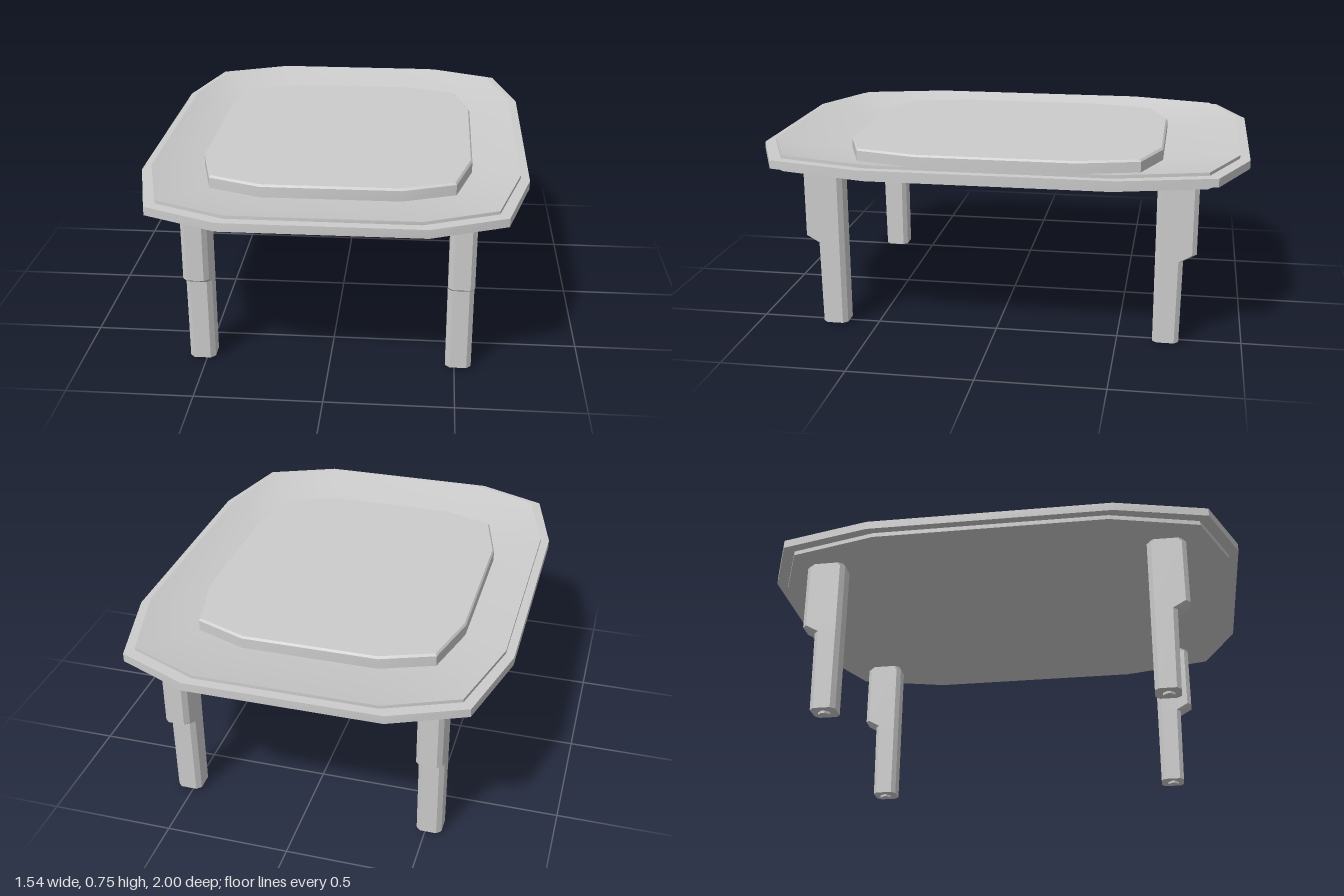
import * as THREE from 'three';
import { toCreasedNormals } from 'three/addons/utils/BufferGeometryUtils.js';

const material = new THREE.MeshStandardMaterial({ color: 0xcccccc });

// Twelve-sided outline from three corner points of one quadrant, anticlockwise from above.
function outline(q) {
  const r = [...q].reverse();
  return [
    ...q.map(([x, z]) => [x, -z]), ...r.map(([x, z]) => [-x, -z]),
    ...q.map(([x, z]) => [-x, z]), ...r.map(([x, z]) => [x, z]),
  ];
}

const mix = (a, b, t) => a.map(([x, z], i) => [x + (b[i][0] - x) * t, z + (b[i][1] - z) * t]);

// Skin a stack of sections [outline, y]; either capped at both ends or closed into a ring.
function loft(name, sections, ring, crease) {
  const n = sections[0][0].length, m = sections.length;
  const pos = [], index = [];
  for (const [pts, y] of sections) for (const [x, z] of pts) pos.push(x, y, z);
  for (let s = 0; s < (ring ? m : m - 1); s++) {
    for (let i = 0; i < n; i++) {
      const j = (i + 1) % n, t = (s + 1) % m;
      const a = s * n + i, b = s * n + j, c = t * n + j, d = t * n + i;
      index.push(a, b, c, a, c, d);
    }
  }
  if (!ring) {
    const top = (m - 1) * n;
    for (let i = 1; i < n - 1; i++) {
      index.push(0, i + 1, i, top, top + i, top + i + 1);
    }
  }
  const g = new THREE.BufferGeometry();
  g.setAttribute('position', new THREE.Float32BufferAttribute(pos, 3));
  g.setIndex(index);
  const mesh = new THREE.Mesh(toCreasedNormals(g.toNonIndexed(), crease), material);
  mesh.name = name;
  return mesh;
}

// Rectangle with cut corners between the given limits.
function cutRect(x0, x1, z0, z1, c) {
  return [
    [x1, z1 - c], [x1, z0 + c], [x1 - c, z0], [x0 + c, z0],
    [x0, z0 + c], [x0, z1 - c], [x0 + c, z1], [x1 - c, z1],
  ];
}

// Leg with a thicker upper half that steps out towards the table end.
function makeLeg(name, x, side, inner, upper, lower) {
  const leg = new THREE.Group();
  leg.name = name;
  const section = (outer, y, inset = 0) => {
    const z0 = Math.min(side * (inner + inset), side * (outer - inset));
    const z1 = Math.max(side * (inner + inset), side * (outer - inset));
    return [cutRect(x - 0.051 + inset, x + 0.051 - inset, z0, z1, 0.018), y];
  };
  leg.add(loft('legPost', [
    section(lower - 0.005, 0.01), section(lower, 0.355),
    section(upper, 0.385), section(upper, 0.665),
  ], false, 0.4));
  leg.add(loft('legFoot', [section(lower, 0, 0.03), section(lower, 0.02, 0.03)], false, 0.4));
  leg.add(loft('legTopPin', [section(upper, 0.65, 0.01), section(upper, 0.695, 0.01)], false, 0.4));
  return leg;
}

export function createModel() {
  const table = new THREE.Group();
  table.name = 'table';

  const outer = outline([[0.77, 0.5], [0.675, 0.875], [0.385, 1]]);
  const rim = outline([[0.735, 0.48], [0.64, 0.84], [0.36, 0.96]]);
  const inner = outline([[0.55, 0.325], [0.485, 0.575], [0.275, 0.655]]);

  // Dished frame with a stepped outer edge
  table.add(loft('topFrame', [
    [inner, 0.682], [rim, 0.68], [rim, 0.698], [outer, 0.698],
    [outer, 0.732], [rim, 0.732], [rim, 0.745],
    [mix(rim, inner, 0.5), 0.712], [inner, 0.692],
  ], true, 0.6));

  // Centre panel set into the frame, with a softened upper edge
  table.add(loft('centrePanel', [
    [inner, 0.682], [inner, 0.735],
    [mix(inner, inner.map(() => [0, 0]), 0.012), 0.743],
  ], false, 0.6));

  // Legs
  for (const [side, word] of [[1, 'Left'], [-1, 'Right']]) {
    table.add(makeLeg('front' + word + 'Leg', side * 0.515, 1, 0.622, 0.782, 0.73));
    table.add(makeLeg('back' + word + 'Leg', side * 0.515, -1, 0.645, 0.807, 0.755));
  }
  return table;
}
